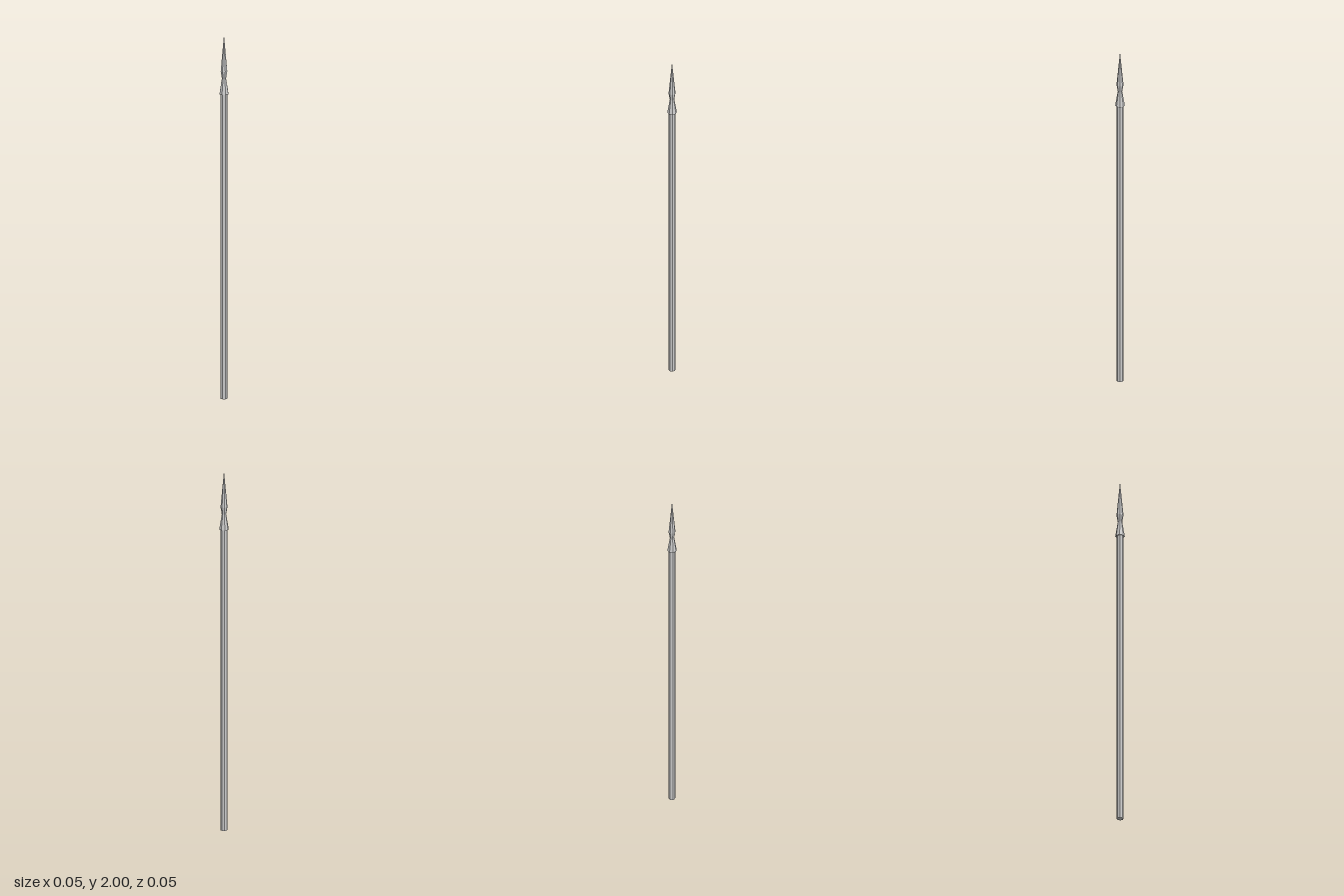
import * as THREE from 'three';

const SIDES = 8;

export function createModel() {
  const group = new THREE.Group();
  const material = new THREE.MeshStandardMaterial({ color: 0xcccccc, flatShading: true });

  // Turn a profile of [radius, height] pairs, listed bottom to top
  const turned = (name, profile) => {
    const points = profile.map(([r, y]) => new THREE.Vector2(r, y));
    const mesh = new THREE.Mesh(new THREE.LatheGeometry(points, SIDES), material);
    mesh.name = name;
    group.add(mesh);
  };

  // Long straight pole, closed at the foot
  turned('shaft', [[0, 0], [0.019, 0], [0.019, 1.675]]);

  // Flared socket, narrow neck, bulge and long point
  turned('spearhead', [
    [0, 1.675], [0.026, 1.675], [0.012, 1.76], [0.019, 1.8], [0, 2],
  ]);

  return group;
}
